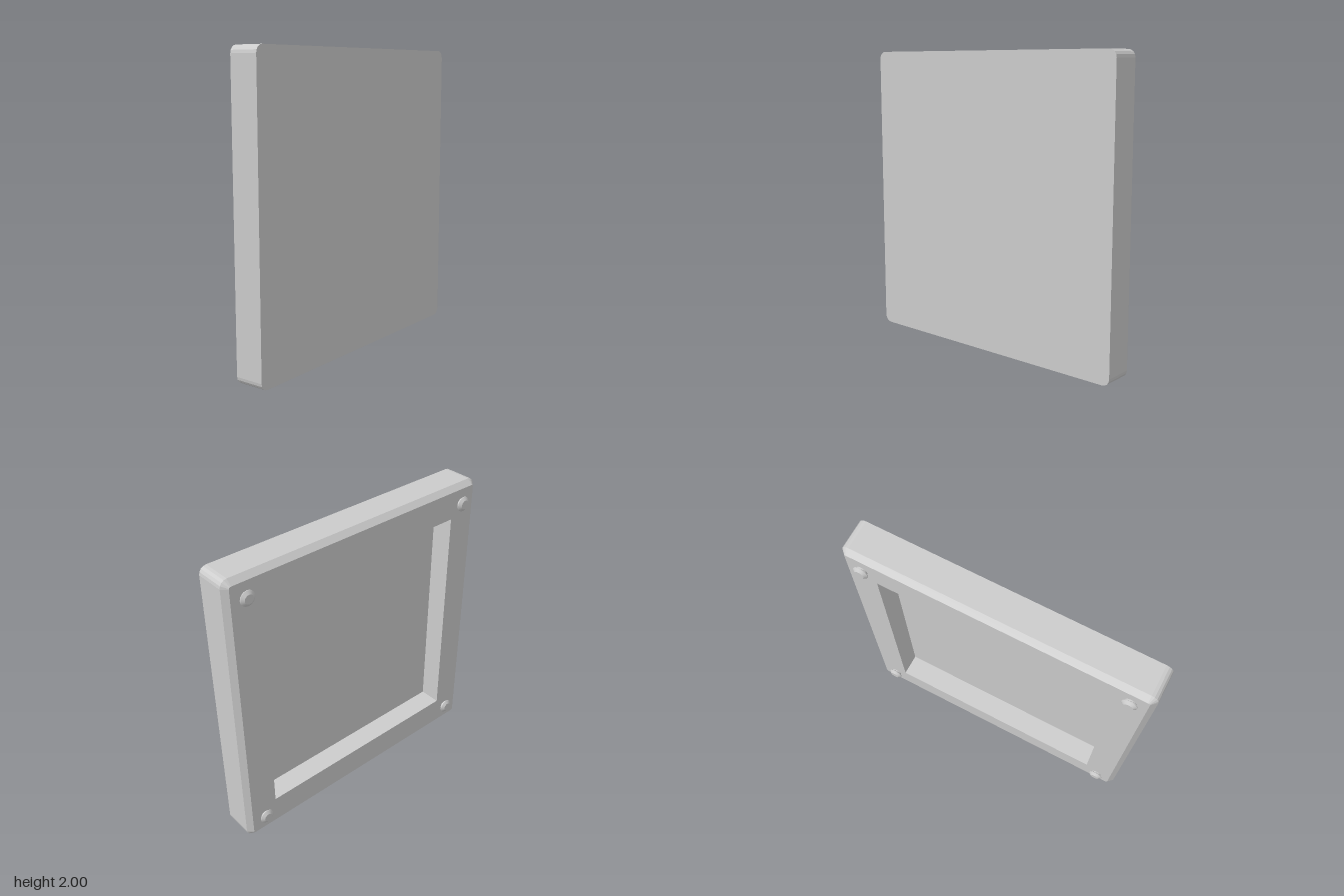
import * as THREE from 'three';

const FRONT = 0.133, BEVEL = -0.065, BACK = -0.1, FLOOR = 0.05;
const POCKET = 0.775, INSET = 0.035, RADIUS = 0.05;

// Counter-clockwise outline of a square with rounded corners (sharp when r = 0)
function outline(half, r, segments = 4) {
  const pts = [];
  for (let q = 0; q < 4; q++) {
    const mid = (q + 0.5) * Math.PI / 2;
    const cx = Math.sign(Math.cos(mid)) * (half - r);
    const cy = Math.sign(Math.sin(mid)) * (half - r);
    const n = r > 0 ? segments : 0;
    for (let i = 0; i <= n; i++) {
      const a = (q + (n ? i / n : 0)) * Math.PI / 2;
      pts.push(new THREE.Vector2(cx + r * Math.cos(a), cy + r * Math.sin(a)));
    }
  }
  return pts;
}

// Wall between two outlines; faces outwards when z0 is in front of z1
function wall(a, z0, b, z1) {
  const pos = [];
  a.forEach((p, i) => {
    const j = (i + 1) % a.length;
    const A = [p.x, p.y, z0], B = [a[j].x, a[j].y, z0];
    const C = [b[j].x, b[j].y, z1], D = [b[i].x, b[i].y, z1];
    pos.push(...A, ...D, ...C, ...A, ...C, ...B);
  });
  const g = new THREE.BufferGeometry();
  g.setAttribute('position', new THREE.Float32BufferAttribute(pos, 3));
  g.computeVertexNormals();
  return g;
}

export function createModel() {
  const model = new THREE.Group();
  const flat = new THREE.MeshStandardMaterial({ color: 0xcccccc, flatShading: true });
  const smooth = new THREE.MeshStandardMaterial({ color: 0xcccccc });
  const add = (name, geometry, material = flat) => {
    const mesh = new THREE.Mesh(geometry, material);
    mesh.name = name;
    panel.add(mesh);
    return mesh;
  };

  const panel = new THREE.Group();
  panel.name = 'panel';
  panel.position.y = 1;
  model.add(panel);

  const outer = outline(1, RADIUS);
  const inner = outline(1 - INSET, RADIUS - INSET);
  const pocket = outline(POCKET, 0);

  // Front face, sides and rear bevel
  add('frontFace', new THREE.ShapeGeometry(new THREE.Shape(outer)).translate(0, 0, FRONT));
  add('sides', wall(outer, FRONT, outer, BEVEL));
  add('rearBevel', wall(outer, BEVEL, inner, BACK));

  // Rear rim around the square recess
  const rim = new THREE.Shape(inner);
  rim.holes.push(new THREE.Path(pocket));
  add('rearRim', new THREE.ShapeGeometry(rim).rotateY(Math.PI).translate(0, 0, BACK));
  add('recessWalls', wall(pocket, BACK, pocket, FLOOR));
  add('recessFloor', new THREE.PlaneGeometry(2 * POCKET, 2 * POCKET).rotateY(Math.PI).translate(0, 0, FLOOR));

  // Button-shaped foot at each rear corner
  const profile = [[0.036, 0], [0.036, 0.008], [0.05, 0.014], [0.05, 0.019], [0.03, 0.034], [0, 0.034]]
    .map(([x, y]) => new THREE.Vector2(x, y));
  // Doubled sections keep the profile edges crisp
  const foot = new THREE.Group();
  for (let i = 0; i < profile.length - 1; i++) {
    const ring = new THREE.Mesh(new THREE.LatheGeometry([profile[i], profile[i + 1]], 24), smooth);
    ring.name = 'footSection';
    foot.add(ring);
  }
  foot.rotation.x = -Math.PI / 2;
  for (const x of [-1, 1]) for (const y of [-1, 1]) {
    const copy = foot.clone();
    copy.name = (y > 0 ? 'upper' : 'lower') + (x > 0 ? 'Left' : 'Right') + 'Foot';
    copy.position.set(x * 0.863, y * 0.863, BACK);
    panel.add(copy);
  }
  return model;
}
